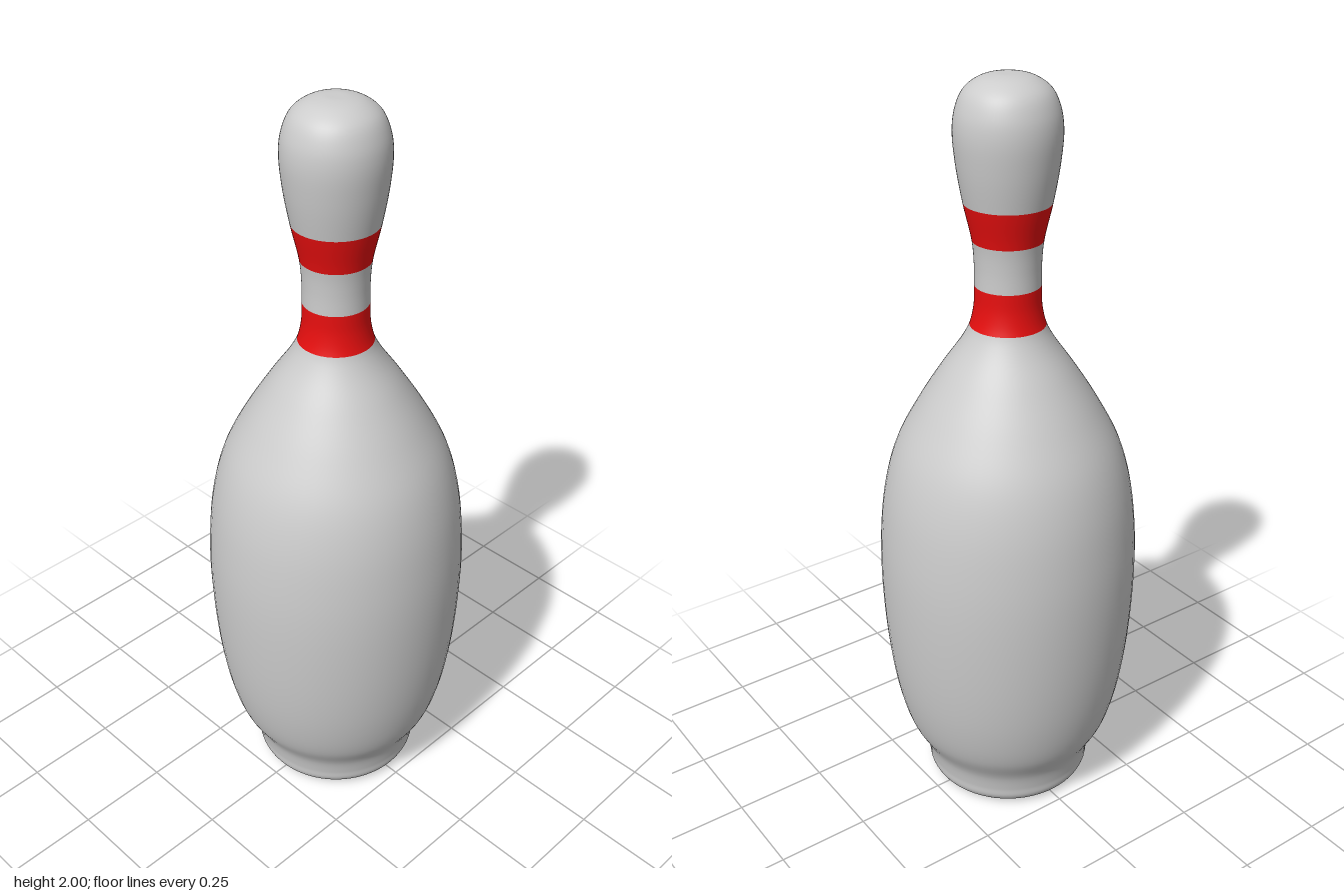
import * as THREE from 'three';

// Outline of the pin as [radius, height], from foot to crown
const PROFILE = [
  [0.17, 0], [0.212, 0.01], [0.227, 0.03], [0.231, 0.06], [0.243, 0.11],
  [0.284, 0.19], [0.312, 0.29], [0.334, 0.44], [0.346, 0.65], [0.342, 0.8],
  [0.324, 0.94], [0.292, 1.05], [0.235, 1.16], [0.172, 1.26], [0.117, 1.34],
  [0.097, 1.38], [0.086, 1.43], [0.084, 1.485], [0.084, 1.54], [0.089, 1.6],
  [0.11, 1.695], [0.126, 1.79], [0.132, 1.87], [0.125, 1.92], [0.105, 1.963],
  [0.07, 1.989], [0.033, 1.999], [0, 2],
];
const STEPS = 6;
const SIDES = 64;

export function createModel() {
  const group = new THREE.Group();
  group.name = 'bowlingPin';

  const white = new THREE.MeshStandardMaterial({ color: 0xcccccc });
  white.name = 'white';
  const red = new THREE.MeshStandardMaterial({ color: 0xf01010 });
  red.name = 'red';

  const curve = new THREE.CatmullRomCurve3(
    PROFILE.map(([r, y]) => new THREE.Vector3(r, y, 0)), false, 'centripetal');
  const last = PROFILE.length - 1;
  const knot = (height) => PROFILE.findIndex(([, y]) => y === height);

  // Turn the stretch of the outline between two heights
  const turned = (name, fromY, toY, material) => {
    const start = knot(fromY);
    const count = (knot(toY) - start) * STEPS;
    const points = [];
    for (let i = 0; i <= count; i++) {
      const p = curve.getPoint((start + i / STEPS) / last);
      points.push(new THREE.Vector2(Math.max(p.x, 0), Math.max(p.y, 0)));
    }
    const mesh = new THREE.Mesh(new THREE.LatheGeometry(points, SIDES), material);
    mesh.name = name;
    group.add(mesh);
  };

  turned('body', 0, 1.38, white);
  turned('lowerStripe', 1.38, 1.485, red);
  turned('neck', 1.485, 1.6, white);
  turned('upperStripe', 1.6, 1.695, red);
  turned('head', 1.695, 2, white);

  // Flat underside
  const base = new THREE.Mesh(new THREE.CircleGeometry(PROFILE[0][0], SIDES), white);
  base.name = 'base';
  base.rotation.x = Math.PI / 2;
  group.add(base);

  return group;
}
